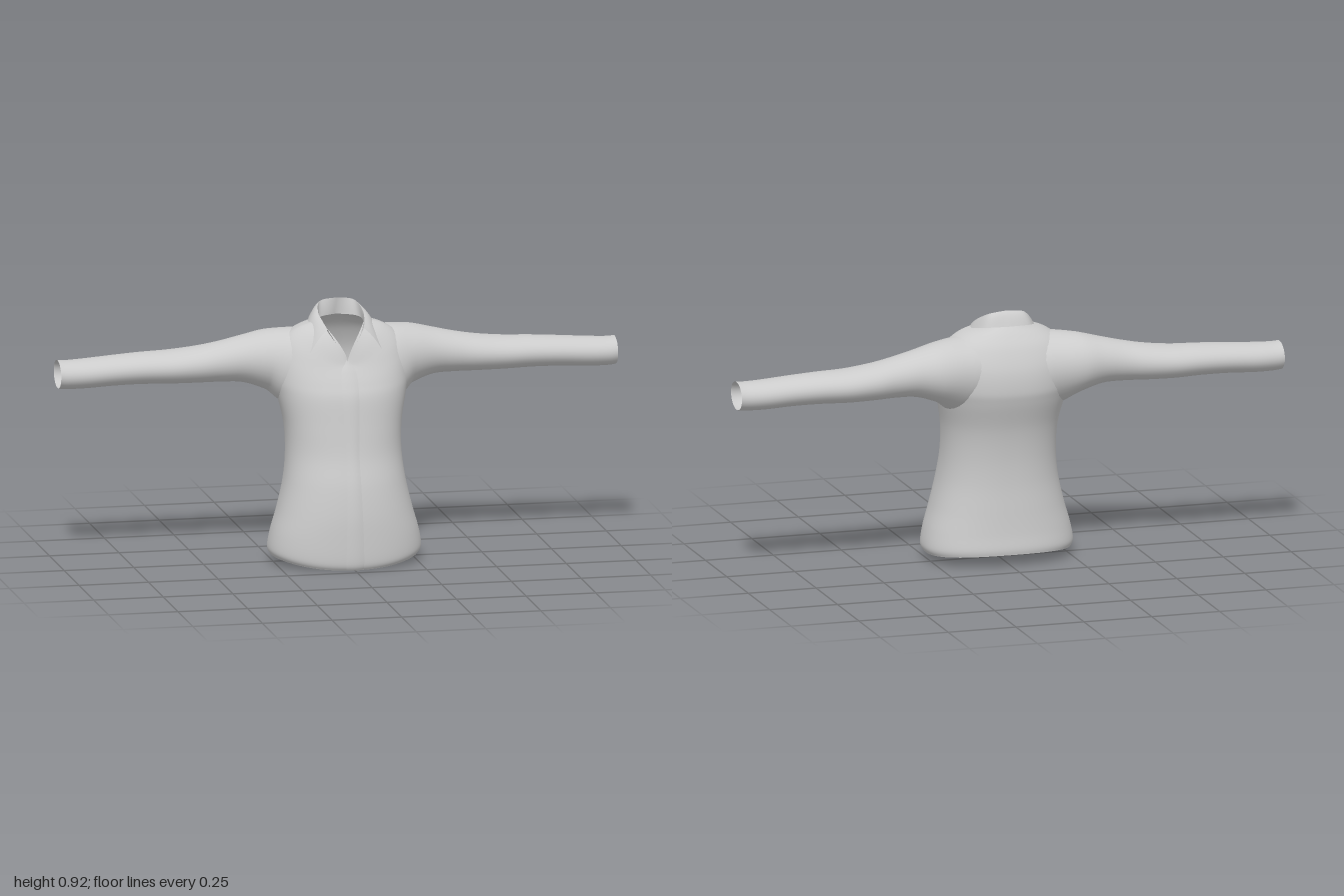
import * as THREE from 'three';

const material = new THREE.MeshStandardMaterial({ color: 0xcccccc, side: THREE.DoubleSide });

// Smooth interpolation through rows of numbers, t in 0..1
function sample(rows, t) {
  const s = Math.min(t, 0.99999) * (rows.length - 1), i = Math.floor(s), f = s - i;
  const at = k => rows[Math.max(0, Math.min(rows.length - 1, k))];
  return rows[i].map((b, k) => {
    const a = at(i - 1)[k], c = at(i + 1)[k], d = at(i + 2)[k];
    return b + 0.5 * f * (c - a + f * (2 * a - 5 * b + 4 * c - d + f * (3 * (b - c) + d - a)));
  });
}

// Surface from a point rule f(u, v); closed in u when asked, keep() can cut holes
function surface(name, f, nu, nv, closed = false, keep = () => true) {
  const pos = [], index = [], cols = closed ? nu : nu + 1;
  for (let j = 0; j <= nv; j++)
    for (let i = 0; i < cols; i++) pos.push(...f(i / nu, j / nv));
  for (let j = 0; j < nv; j++)
    for (let i = 0; i < nu; i++) {
      const n = (i + 1) % cols;
      const a = j * cols + i, b = j * cols + n, c = a + cols, d = b + cols;
      const mid = [0, 1, 2].map(k => (pos[a * 3 + k] + pos[d * 3 + k]) / 2);
      if (keep(...mid)) index.push(a, b, d, a, d, c);
    }
  const g = new THREE.BufferGeometry();
  g.setAttribute('position', new THREE.Float32BufferAttribute(pos, 3));
  g.setIndex(index);
  g.computeVertexNormals();
  const mesh = new THREE.Mesh(g, material);
  mesh.name = name;
  return mesh;
}

// Body rings: front y, side y, back y, half width, front z, back z, front exponent, y blend power
const BODY = [
  [0.005, 0.035, 0.048, 0.262, 0.207, -0.167, 2.2, 2],
  [0.03, 0.06, 0.07, 0.272, 0.217, -0.169, 2.2, 2],
  [0.11, 0.12, 0.12, 0.262, 0.218, -0.163, 2.2, 2],
  [0.20, 0.20, 0.20, 0.239, 0.214, -0.157, 2.2, 2],
  [0.30, 0.30, 0.30, 0.216, 0.200, -0.152, 2.2, 2],
  [0.40, 0.40, 0.40, 0.205, 0.176, -0.156, 2.2, 2],
  [0.50, 0.50, 0.50, 0.208, 0.160, -0.172, 2.3, 2],
  [0.60, 0.60, 0.60, 0.228, 0.145, -0.203, 2.3, 2],
  [0.65, 0.66, 0.65, 0.238, 0.127, -0.212, 2.3, 2],
  [0.69, 0.74, 0.72, 0.232, 0.108, -0.205, 2.2, 2],
  [0.71, 0.80, 0.79, 0.205, 0.097, -0.178, 2.0, 1.7],
  [0.72, 0.84, 0.835, 0.150, 0.091, -0.147, 1.7, 1.3],
  [0.73, 0.86, 0.865, 0.080, 0.085, -0.118, 1.4, 1],
];

function bodyPoint(u, v) {
  const [yF, yS, yB, w, zF, zB, nF, p] = sample(BODY, v);
  const s = Math.sin(u * 2 * Math.PI), c = Math.cos(u * 2 * Math.PI), front = c > 0;
  const n = front ? nF : 2.3, zc = (zF + zB) / 2;
  const yEnd = front ? yF : yB;
  return [
    w * Math.sign(s) * Math.abs(s) ** (2 / n),
    yEnd + (yS - yEnd) * Math.abs(s) ** (front ? p : 2),
    zc + Math.sign(c) * (zF - zB) / 2 * Math.abs(c) ** (2 / n),
  ];
}

// Sleeve rings: x, bottom y, top y, back z, front z
const SLEEVE = [
  [0.18, 0.570, 0.828, -0.190, 0.050],
  [0.26, 0.607, 0.819, -0.206, 0.018],
  [0.34, 0.634, 0.800, -0.196, -0.010],
  [0.42, 0.638, 0.781, -0.192, -0.022],
  [0.50, 0.637, 0.766, -0.200, -0.026],
  [0.60, 0.637, 0.755, -0.205, -0.032],
  [0.70, 0.640, 0.751, -0.199, -0.037],
  [0.80, 0.639, 0.745, -0.192, -0.040],
  [0.90, 0.634, 0.738, -0.187, -0.043],
  [0.97, 0.634, 0.735, -0.180, -0.046],
  [1.00, 0.637, 0.737, -0.177, -0.049],
];

// Collar, from the middle of the back to the front tip
const BASE = [[0, 0.86, -0.115], [0.068, 0.858, -0.075], [0.078, 0.845, -0.01], [0.05, 0.80, 0.05], [0.008, 0.74, 0.084]];
const FOLD = [[0, 0.92, -0.105], [0.06, 0.912, -0.10], [0.08, 0.885, -0.04], [0.074, 0.86, 0.02], [0.065, 0.84, 0.052]];
const EDGE = [[0, 0.868, -0.137], [0.08, 0.866, -0.122], [0.115, 0.85, -0.05], [0.122, 0.81, 0.02], [0.13, 0.76, 0.062]];

export function createModel() {
  const group = new THREE.Group();

  // Body with armholes
  const insideSleeve = (x, y, z) => Math.abs(x) > 0.1 &&
    ((y - 0.70) / 0.115) ** 2 + ((z + 0.07) / 0.107) ** 2 < 1;
  const whole = surface('body', bodyPoint, 72, 84, true);
  group.add(surface('body', bodyPoint, 72, 84, true, (...p) => !insideSleeve(...p)));

  // Sleeves, whose first ring lies on the body's side
  const ray = new THREE.Raycaster();
  const rootX = (y, z) => {
    ray.set(new THREE.Vector3(1, y, z), new THREE.Vector3(-1, 0, 0));
    const hit = ray.intersectObject(whole)[0];
    return hit ? hit.point.x - 0.008 : 0.12;
  };
  const ringPoint = (u, v) => {
    const [x, y0, y1, z0, z1] = sample(SLEEVE, v);
    const a = u * 2 * Math.PI;
    return [x, (y0 + y1) / 2 + (y1 - y0) / 2 * Math.sin(a), (z0 + z1) / 2 + (z1 - z0) / 2 * Math.cos(a)];
  };
  const first = 1 / (SLEEVE.length - 1);
  const sleevePoint = (u, v) => {
    const p = ringPoint(u, v);
    if (v < first) {
      const r = ringPoint(u, 0);
      p[0] = THREE.MathUtils.lerp(rootX(r[1], r[2]), SLEEVE[1][0], v / first);
    }
    return p;
  };
  for (const [name, side] of [['leftSleeve', 1], ['rightSleeve', -1]])
    group.add(surface(name, (u, v) => {
      const [x, y, z] = sleevePoint(side * u + (side < 0 ? 1 : 0), v);
      return [side * x, y, z];
    }, 32, 50, true));

  // Collar: stand inside, folded leaf outside
  const around = (rows, u) => {
    const t = 2 * u - 1, [x, y, z] = sample(rows, Math.abs(t));
    return new THREE.Vector3(Math.sign(t) * x, y, z);
  };
  const strip = (name, from, to, bulge) => group.add(surface(name, (u, v) => {
    const p = around(from, u).lerp(around(to, u), v);
    p.y += bulge * Math.sin(v * Math.PI);
    return p.toArray();
  }, 48, 6));
  strip('collarStand', BASE, FOLD, 0);
  strip('collarLeaf', FOLD, EDGE, 0.008);

  // Button placket down the front
  group.add(surface('placket', (u, v) => {
    const [x, y, z] = bodyPoint((u - 0.5) * 0.03, v * 0.97);
    return [x, y, z + 0.004 * Math.sin(u * Math.PI)];
  }, 6, 60));

  return group;
}
